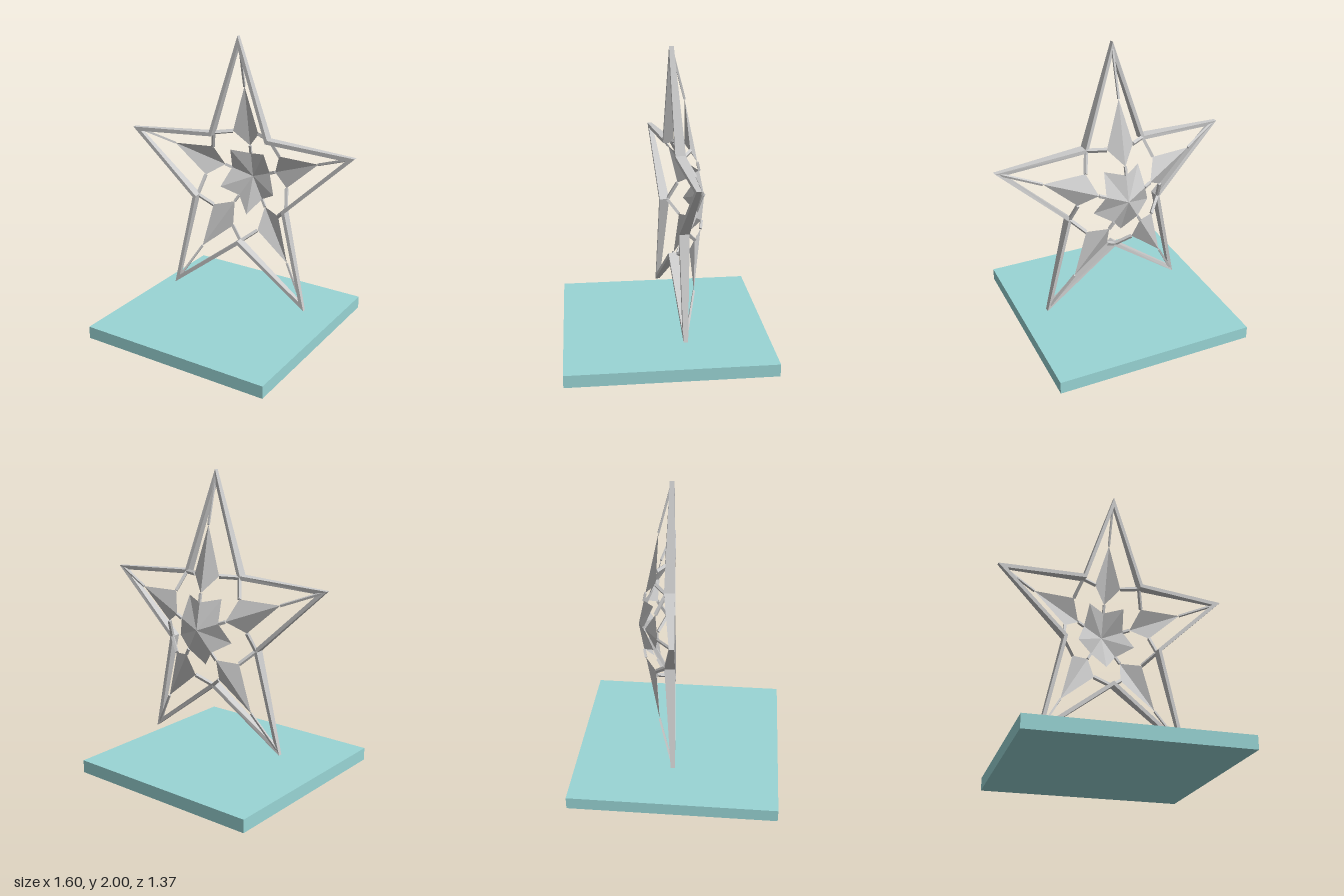
import * as THREE from 'three';

const grey = new THREE.MeshStandardMaterial({ color: 0xcccccc, flatShading: true, side: THREE.DoubleSide });
const teal = new THREE.MeshStandardMaterial({ color: 0x99d5d5 });

const TIP = 0.844, VALLEY = 0.36, APEX = 0.24;   // star radii and height of the domed back
const TIP_DEPTH = 0.03, VALLEY_DEPTH = 0.067;    // frame thickness at tips and valleys

// point at a radius and an angle (degrees clockwise from the top), depth measured backwards
function polar(r, deg, depth) {
  const a = THREE.MathUtils.degToRad(deg);
  return new THREE.Vector3(r * Math.sin(a), r * Math.cos(a), -depth);
}
// depth of the domed surface on the tip ridges and on the valley lines
const ridgeDepth = (r) => APEX + (TIP_DEPTH - APEX) * r / TIP;
const valleyDepth = (r) => APEX + (VALLEY_DEPTH - APEX) * r / VALLEY;

function mesh(name, geometry, material = grey) {
  const m = new THREE.Mesh(geometry, material);
  m.name = name;
  return m;
}

// surface made of separate triangles
function facets(points) {
  const g = new THREE.BufferGeometry().setFromPoints(points);
  g.computeVertexNormals();
  return g;
}

// square bar between two points
function bar(name, a, b, radius) {
  const d = b.clone().sub(a);
  const g = new THREE.CylinderGeometry(radius, radius, d.length(), 4);
  g.rotateY(Math.PI / 4);
  g.applyQuaternion(new THREE.Quaternion().setFromUnitVectors(new THREE.Vector3(0, 1, 0), d.normalize()));
  const mid = a.clone().add(b).multiplyScalar(0.5);
  g.translate(mid.x, mid.y, mid.z);
  return mesh(name, g);
}

// closed star outline swept with a four-cornered section
function frameGeometry() {
  const sections = [];
  for (let i = 0; i < 10; i++) {
    const tip = i % 2 === 0, deg = i * 36;
    const outer = tip ? TIP : VALLEY, inner = tip ? TIP - 0.064 : VALLEY - 0.026;
    const depth = tip ? TIP_DEPTH : VALLEY_DEPTH;
    sections.push([polar(outer, deg, 0), polar(inner, deg, 0), polar(inner, deg, depth), polar(outer, deg, depth)]);
  }
  const pts = [];
  for (let i = 0; i < 10; i++) {
    const s = sections[i], t = sections[(i + 1) % 10];
    for (let k = 0; k < 4; k++) {
      const n = (k + 1) % 4;
      pts.push(s[k], t[n], t[k], s[k], s[n], t[n]);
    }
  }
  return facets(pts);
}

export function createModel() {
  const model = new THREE.Group();

  // flat plinth
  const base = mesh('base', new THREE.BoxGeometry(1.35, 0.085, 1.37), teal);
  base.position.set(-0.045, 0.0425, 0);
  model.add(base);

  // star, slightly turned and stretched upwards
  const star = new THREE.Group();
  star.name = 'star';
  star.position.set(0, 1.005, -0.037);
  star.rotation.y = THREE.MathUtils.degToRad(5);
  star.scale.y = 1.179;
  model.add(star);

  star.add(mesh('starFrame', frameGeometry()));

  const centre = [];
  const apex = new THREE.Vector3(0, 0, -APEX);
  for (let i = 0; i < 5; i++) {
    const deg = i * 72;
    const arm = new THREE.Group();
    arm.name = 'arm';
    star.add(arm);

    // folded kite spike lying on the ridge
    const point = polar(0.555, deg, ridgeDepth(0.555));
    const heel = polar(0.197, deg, ridgeDepth(0.197));
    const wings = [-18, 18].map((o) => polar(0.303, deg + o, 0.122));
    arm.add(mesh('kiteSpike', facets([point, heel, wings[0], point, wings[1], heel])));

    // ridge ribs: frame tip to spike, spike to centre
    const notch = polar(0.148, deg, ridgeDepth(0.148));
    arm.add(bar('tipRib', polar(TIP - 0.04, deg, ridgeDepth(TIP) - 0.005), point, 0.009));
    arm.add(bar('centreRib', heel, notch, 0.011));

    // ribs from the frame valleys to the spike wings
    [-1, 1].forEach((s, k) => {
      const valley = polar(VALLEY - 0.012, deg + 36 * s, VALLEY_DEPTH - 0.012);
      arm.add(bar('valleyRib', valley, wings[k], 0.013));
    });

    // two facets of the inverted centre star
    for (const s of [-1, 1]) {
      const corner = polar(0.21, deg + 36 * s, valleyDepth(0.21));
      centre.push(apex, ...(s < 0 ? [notch, corner] : [corner, notch]));
    }
  }
  star.add(mesh('centreStar', facets(centre)));

  return model;
}
